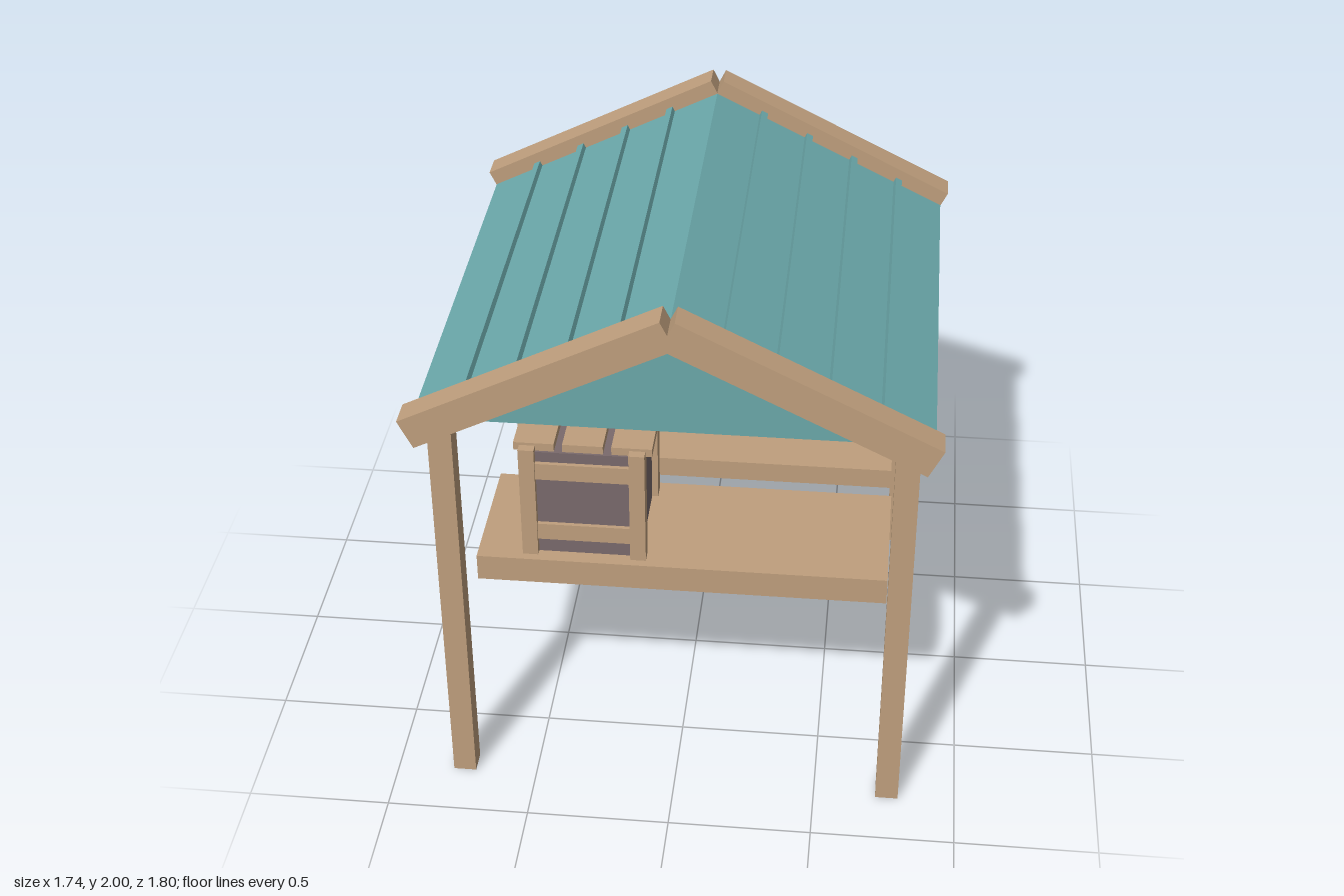
import * as THREE from 'three';

const wood = new THREE.MeshStandardMaterial({ color: 0xbf9f7d, flatShading: true });
const teal = new THREE.MeshStandardMaterial({ color: 0x6ba8aa, flatShading: true });
const dark = new THREE.MeshStandardMaterial({ color: 0x7a6a6c, flatShading: true });

// Box given by its min and max on each axis
function box(parent, name, mat, [x0, x1], [y0, y1], [z0, z1]) {
  const mesh = new THREE.Mesh(new THREE.BoxGeometry(x1 - x0, y1 - y0, z1 - z0), mat);
  mesh.position.set((x0 + x1) / 2, (y0 + y1) / 2, (z0 + z1) / 2);
  mesh.name = name;
  parent.add(mesh);
  return mesh;
}

function createRoof() {
  const roof = new THREE.Group();
  roof.name = 'roof';
  const halfWidth = 0.845, eave = 1.53, ridge = 1.95;
  const pitch = Math.atan2(ridge - eave, halfWidth);

  // Solid gabled body
  const gable = new THREE.Shape();
  gable.moveTo(-halfWidth, eave);
  gable.lineTo(halfWidth, eave);
  gable.lineTo(0, ridge);
  gable.closePath();
  const body = new THREE.Mesh(
    new THREE.ExtrudeGeometry(gable, { depth: 1.6, bevelEnabled: false }), teal);
  body.position.z = -0.8;
  body.name = 'roofBody';
  roof.add(body);

  for (const side of [-1, 1]) {
    // Raised seams running along each slope
    for (let i = 1; i <= 4; i++) {
      const x = 0.169 * i;
      const y = ridge - x * Math.tan(pitch);
      const seam = new THREE.Mesh(new THREE.BoxGeometry(0.025, 0.04, 1.6), teal);
      seam.position.set(side * x, y, 0);
      seam.rotation.z = -side * pitch;
      seam.name = 'roofSeam';
      roof.add(seam);
    }
    // Sloping boards on both gable ends
    for (const z of [-0.85, 0.85]) {
      const board = new THREE.Mesh(new THREE.BoxGeometry(0.946, 0.11, 0.1), wood);
      board.position.set(side * 0.4225, 1.74, z);
      board.rotation.z = -side * pitch;
      board.name = 'gableBoard';
      roof.add(board);
    }
  }
  return roof;
}

function createCrate() {
  const crate = new THREE.Group();
  crate.name = 'crate';
  box(crate, 'crateCore', dark, [-0.54, -0.147], [0.78, 1.205], [0.105, 0.495]);

  // Corner uprights
  for (const x of [-0.56, -0.18])
    for (const z of [0.08, 0.465])
      box(crate, 'crateUpright', wood, [x, x + 0.055], [0.78, 1.225], [z, z + 0.055]);

  // Cross rails on front and back
  for (const y of [0.845, 1.1])
    for (const z of [0.09, 0.475])
      box(crate, 'crateRail', wood, [-0.52, -0.165], [y, y + 0.065], [z, z + 0.035]);

  // Lid slats
  for (let i = 0; i < 3; i++) {
    const x = -0.58 + i * 0.169;
    box(crate, 'lidSlat', wood, [x, x + 0.14], [1.205, 1.235], [0.11, 0.487]);
  }
  return crate;
}

export function createModel() {
  const stall = new THREE.Group();
  stall.name = 'marketStall';

  // Corner posts
  for (const x of [-0.8, 0.72])
    for (const z of [-0.8, 0.72])
      box(stall, 'post', wood, [x, x + 0.08], [0, 1.54], [z, z + 0.08]);

  // Counter and rear shelves
  box(stall, 'counter', wood, [-0.72, 0.72], [0.683, 0.783], [0.05, 0.55]);
  for (const y of [0.43, 1.067])
    box(stall, 'rearShelf', wood, [-0.72, 0.72], [y, y + 0.082], [-0.76, -0.49]);

  stall.add(createCrate(), createRoof());
  return stall;
}
